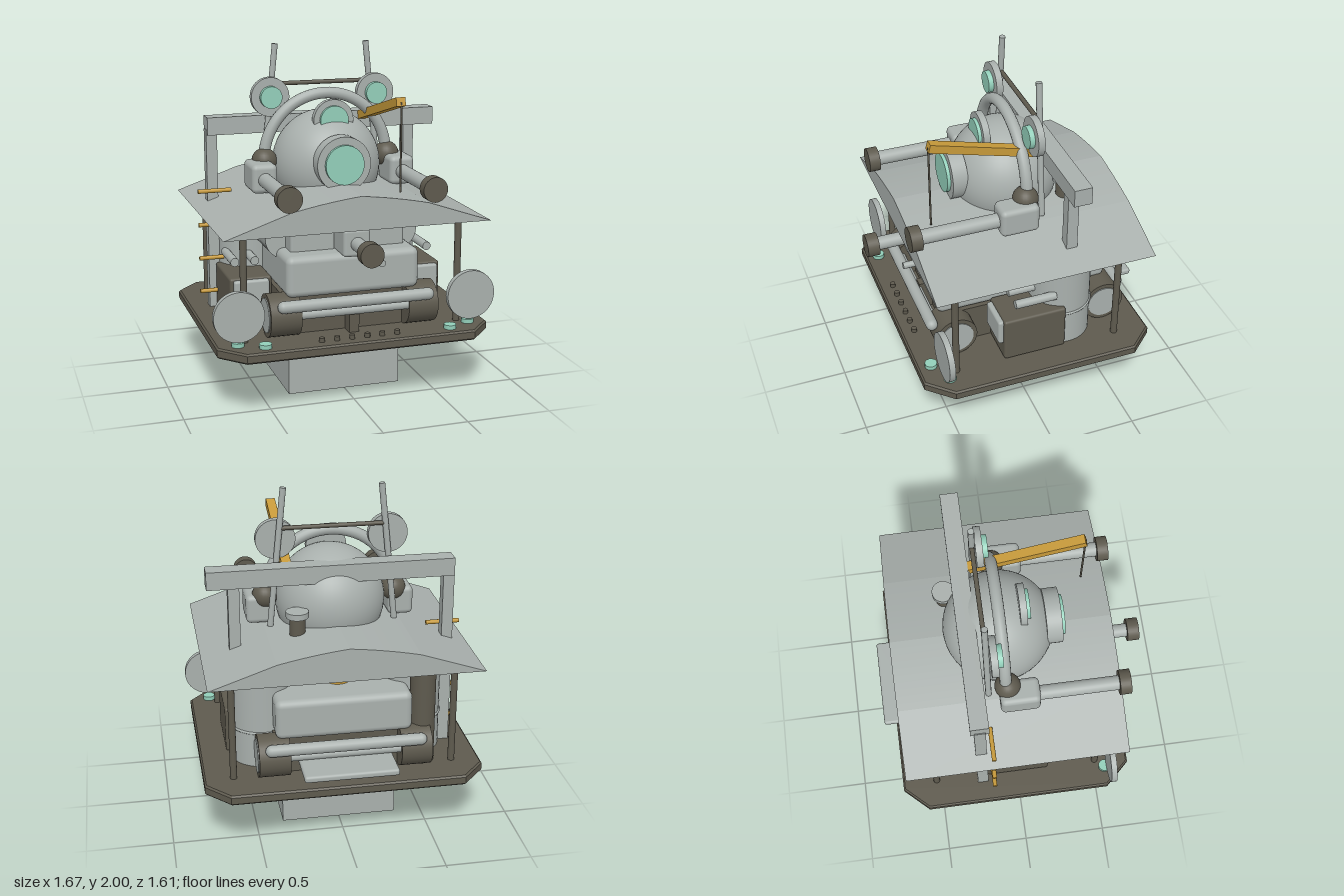
import * as THREE from 'three';
import { RoundedBoxGeometry } from 'three/addons/geometries/RoundedBoxGeometry.js';

export function createModel() {
  const model = new THREE.Group();
  model.name = 'walkerCabin';
  const mat = (name, color) => {
    const m = new THREE.MeshStandardMaterial({ color });
    m.name = name;
    return m;
  };
  const grey = mat('paleGrey', 0xa9b0ad);
  const dark = mat('darkMetal', 0x5e5a4e);
  const glass = mat('tealGlass', 0x93cfba);
  const yellow = mat('yellowPaint', 0xc79a3a);

  const add = (name, geo, material, x = 0, y = 0, z = 0) => {
    const mesh = new THREE.Mesh(geo, material);
    mesh.name = name;
    mesh.position.set(x, y, z);
    model.add(mesh);
    return mesh;
  };
  // Box given by its extents
  const box = (name, m, x0, x1, y0, y1, z0, z1, r = 0) => {
    const s = [x1 - x0, y1 - y0, z1 - z0];
    const geo = r ? new RoundedBoxGeometry(...s, 3, r) : new THREE.BoxGeometry(...s);
    return add(name, geo, m, (x0 + x1) / 2, (y0 + y1) / 2, (z0 + z1) / 2);
  };
  // Cylinder between two points
  const rod = (name, m, a, b, r, sides = 32) => {
    const p = new THREE.Vector3(...a), q = new THREE.Vector3(...b);
    const d = q.clone().sub(p);
    const mesh = add(name, new THREE.CylinderGeometry(r, r, d.length(), sides), m);
    mesh.position.copy(p).add(q).multiplyScalar(0.5);
    mesh.quaternion.setFromUnitVectors(new THREE.Vector3(0, 1, 0), d.normalize());
    return mesh;
  };
  // Ring with a glass lens, facing forward
  const lamp = (name, x, y, z0, z1, z2, rOuter, rGlass) => {
    rod(name + 'Rim', grey, [x, y, z0], [x, y, z1], rOuter, 40);
    rod(name + 'Glass', glass, [x, y, z1], [x, y, z2], rGlass, 40);
  };

  // Pedestal and chamfered deck
  box('pedestal', grey, -0.34, 0.34, 0, 0.36, -0.37, 0.32);
  const deck = new THREE.Shape([
    [-0.8, -0.53], [-0.67, -0.67], [0.67, -0.67], [0.8, -0.53],
    [0.8, 0.58], [0.67, 0.72], [-0.67, 0.72], [-0.8, 0.58],
  ].map(([x, y]) => new THREE.Vector2(x, y)));
  const deckGeo = new THREE.ExtrudeGeometry(deck, {
    depth: 0.04, bevelEnabled: true, bevelThickness: 0.01, bevelSize: 0.01, bevelSegments: 1,
  });
  deckGeo.rotateX(-Math.PI / 2);
  add('deck', deckGeo, dark, 0, 0.36, 0);

  // Arched roof with flat underside
  const roof = new THREE.Shape();
  roof.moveTo(-0.78, 1.04);
  roof.lineTo(0.78, 1.04);
  roof.lineTo(0.4, 1.17);
  roof.quadraticCurveTo(0.2, 1.215, 0, 1.235);
  roof.quadraticCurveTo(-0.2, 1.215, -0.4, 1.17);
  const roofGeo = new THREE.ExtrudeGeometry(roof, { depth: 1.3, bevelEnabled: false, curveSegments: 10 });
  add('roof', roofGeo, grey, 0, 0, -0.68);

  // Dome with two portholes
  add('dome', new THREE.SphereGeometry(0.32, 48, 32), grey, 0, 1.3, -0.045);
  lamp('mainPorthole', 0, 1.35, 0.22, 0.31, 0.33, 0.16, 0.115);
  lamp('upperPorthole', 0, 1.575, 0.07, 0.11, 0.13, 0.12, 0.085);
  add('domeArch', new THREE.TorusGeometry(0.378, 0.034, 16, 48, Math.PI), grey, 0, 1.335, -0.05);

  // Vent behind the dome
  rod('ventPipe', dark, [0.235, 1.1, -0.335], [0.235, 1.3, -0.335], 0.045);
  rod('ventCap', grey, [0.235, 1.3, -0.335], [0.235, 1.335, -0.335], 0.065);

  // Central gun below the roof
  box('gunHousing', grey, -0.08, 0.08, 0.87, 1.03, 0.3, 0.55, 0.02);
  rod('gunBarrel', grey, [0, 0.945, 0.5], [0, 0.945, 0.74], 0.04);
  rod('gunMuzzle', dark, [0, 0.945, 0.735], [0, 0.945, 0.805], 0.068);

  // Engine body
  box('engineBody', grey, -0.395, 0.395, 0.64, 0.88, -0.56, 0.5, 0.04);
  box('innerHull', grey, -0.3, 0.3, 0.86, 1.05, -0.3, 0.25);
  rod('spout', grey, [0.125, 0.84, 0.45], [0.125, 0.84, 0.62], 0.02, 16);
  box('undercarriage', dark, -0.4, 0.4, 0.41, 0.64, -0.5, 0.42);
  box('frontStrut', dark, -0.03, 0.03, 0.41, 0.59, 0.42, 0.5);
  rod('yellowDrum', yellow, [0, 0.88, -0.3], [0, 1.04, -0.3], 0.075);
  box('rearStep', grey, -0.27, 0.27, 0.49, 0.53, -0.8, -0.52, 0.015);
  for (let i = 0; i < 6; i++) {
    const x = -0.225 + i * 0.09;
    rod('deckKnob', dark, [x, 0.4, 0.6], [x, 0.435, 0.6], 0.016, 10);
  }

  // Bumpers, front and rear
  for (const [z, end] of [[0.55, 'front'], [-0.62, 'rear']]) {
    const bar = rod(end + 'Bumper', grey, [-0.43, 0.615, z], [0.43, 0.615, z], 0.035, 20);
    for (const x of [-0.43, 0.43]) {
      add(end + 'BumperEnd', new THREE.SphereGeometry(0.035, 16, 12), grey, x, 0.615, z);
    }
    bar.name = end + 'BumperBar';
    rod(end + 'LowerBar', grey, [-0.38, 0.55, z - Math.sign(z) * 0.04], [0.38, 0.55, z - Math.sign(z) * 0.04], 0.028, 16);
  }

  // Mirrored parts
  for (const s of [-1, 1]) {
    const sbox = (name, m, x0, x1, ...rest) =>
      box(name, m, Math.min(s * x0, s * x1), Math.max(s * x0, s * x1), ...rest);

    // Arm with shoulder, housing, barrel and muzzle
    add('shoulder', new THREE.SphereGeometry(0.075, 24, 16), dark, s * 0.38, 1.33, -0.04);
    sbox('armHousing', grey, 0.345, 0.495, 1.17, 1.34, -0.09, 0.14, 0.03);
    rod('armBarrel', grey, [s * 0.42, 1.25, 0.1], [s * 0.42, 1.25, 0.61], 0.042);
    rod('armMuzzle', dark, [s * 0.42, 1.25, 0.595], [s * 0.42, 1.25, 0.66], 0.072);

    // Spotlight and slanted aerial
    lamp('spotlight', s * 0.325, 1.695, -0.13, -0.09, -0.06, 0.115, 0.065);
    rod('aerial', grey, [s * 0.365, 1.18, -0.148], [s * 0.28, 2, -0.148], 0.018, 12);

    // Roof posts
    for (const z of [0.475, -0.52]) {
      rod('roofPost', dark, [s * 0.64, 0.4, z], [s * 0.64, 1.08, z], 0.02, 16);
    }

    // Wheels with hubs
    for (const z of [0.42, -0.51]) {
      rod('wheel', dark, [s * 0.32, 0.535, z], [s * 0.5, 0.535, z], 0.125, 32);
      rod('wheelHub', grey, [s * 0.48, 0.535, z], [s * 0.506, 0.535, z], 0.1, 32);
    }

    // Tanks, side box and small pipes
    rod('sideTank', grey, [s * 0.44, 0.41, -0.235], [s * 0.44, 0.945, -0.235], 0.187, 40);
    const band = add('tankBand', new THREE.TorusGeometry(0.187, 0.008, 8, 40), grey, s * 0.44, 0.625, -0.235);
    band.rotation.x = Math.PI / 2;
    rod('upperTank', grey, [s * 0.34, 0.935, -0.3], [s * 0.34, 0.935, 0.27], 0.12, 32);
    sbox('frontCabinet', grey, 0.08, 0.34, 0.86, 1.05, 0.2, 0.38, 0.015);
    sbox('sideBox', dark, 0.4, 0.65, 0.41, 0.69, -0.2, 0.18, 0.015);
    sbox('sideBoxCap', grey, 0.42, 0.63, 0.52, 0.68, 0.17, 0.21, 0.015);
    for (const x of [0.48, 0.6]) {
      rod('sidePipe', grey, [s * x, 0.765, -0.15], [s * x, 0.765, 0.1], 0.026, 16);
    }

    // Front shield disc and deck lamps
    rod('frontDisc', grey, [s * 0.69, 0.59, 0.54], [s * 0.69, 0.59, 0.575], 0.145, 40);
    for (const [x, z] of [[0.69, 0.53], [0.55, 0.6]]) {
      rod('deckLamp', glass, [s * x, 0.4, z], [s * x, 0.435, z], 0.036, 16);
    }
  }

  // Bar between the aerials
  rod('crossBar', dark, [-0.3, 1.765, -0.148], [0.3, 1.765, -0.148], 0.013, 12);

  // Gantry frame with climbing rungs
  box('gantryBeam', grey, -0.685, 0.735, 1.47, 1.575, -0.285, -0.18);
  box('gantryPostRight', grey, -0.69, -0.625, 0.41, 1.5, -0.265, -0.2);
  box('gantryPostLeft', grey, 0.55, 0.615, 1.06, 1.5, -0.265, -0.2);
  for (let i = 0; i < 4; i++) {
    const y = 1.14 - i * 0.205;
    rod('rung', yellow, [-0.755, y, -0.165], [-0.555, y, -0.165], 0.013, 12);
  }

  // Dark rear drum on one side
  rod('rearDrum', dark, [-0.47, 0.4, -0.47], [-0.47, 1.05, -0.47], 0.075);

  // Crane boom and cable
  const tail = new THREE.Vector3(0.272, 1.55, -0.175), tip = new THREE.Vector3(0.272, 1.725, 0.485);
  const boom = add('craneBoom', new THREE.BoxGeometry(0.055, 0.05, tail.distanceTo(tip)), yellow);
  boom.position.copy(tail).add(tip).multiplyScalar(0.5);
  boom.lookAt(tip);
  rod('craneCable', dark, [0.275, 1.72, 0.485], [0.275, 1.21, 0.485], 0.006, 8);

  return model;
}
